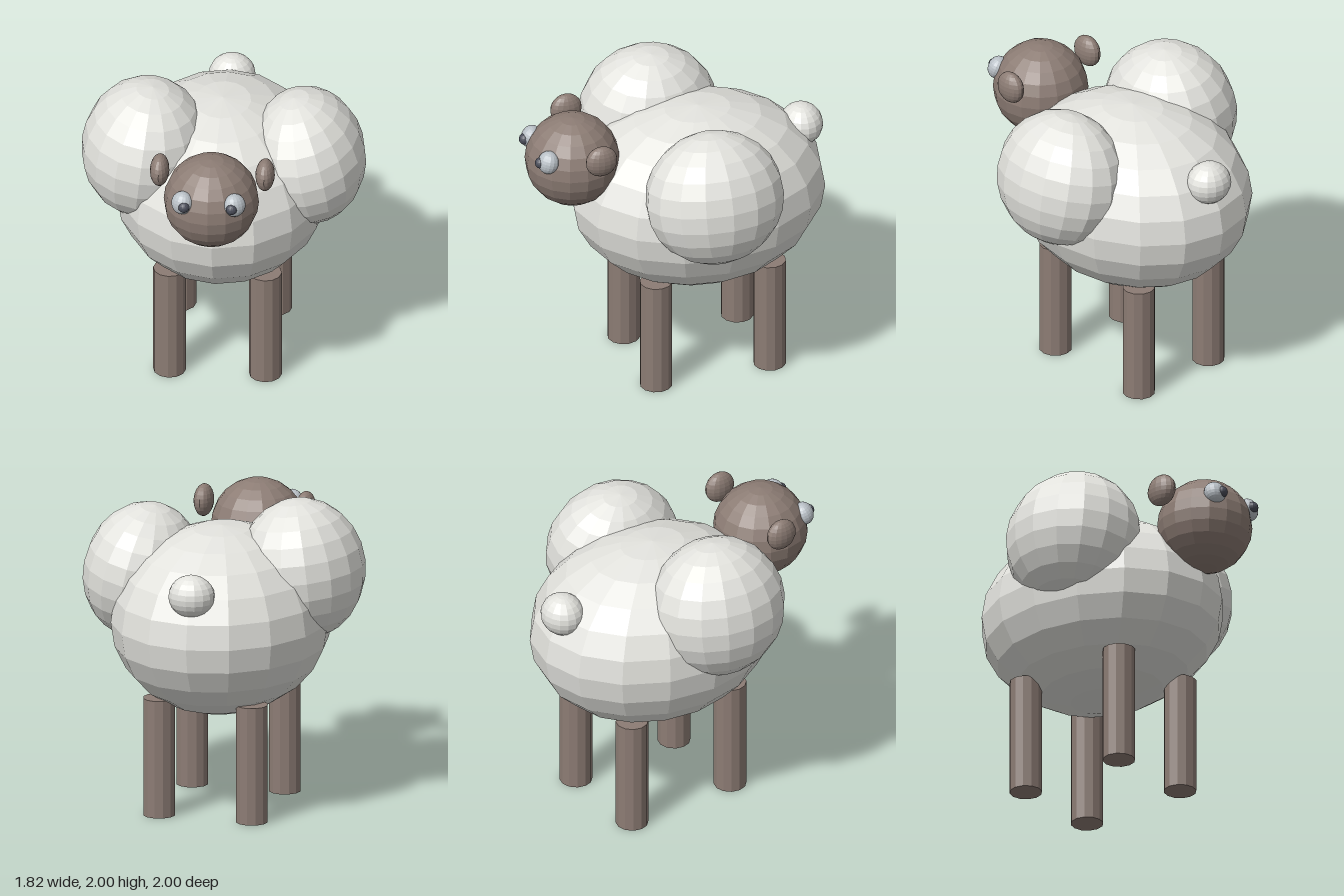
import * as THREE from 'three';

const material = (color) => new THREE.MeshStandardMaterial({ color, flatShading: true });

export function createModel() {
  const model = new THREE.Group();
  model.name = 'sheep';
  const MID = -0.016; // x of the symmetry plane

  const wool = material(0xe2e2dd);
  const skin = material(0x8c7c74);
  const eyeWhite = material(0xb9c0c6);
  const dark = material(0x4b4e5a);

  const add = (name, geometry, mat, x, y, z) => {
    const mesh = new THREE.Mesh(geometry, mat);
    mesh.name = name;
    mesh.position.set(x, y, z);
    model.add(mesh);
    return mesh;
  };
  const ball = (name, mat, position, radii) => {
    const mesh = add(name, new THREE.SphereGeometry(1, 16, 12), mat, ...position);
    mesh.scale.set(...radii);
    return mesh;
  };

  // Woolly body, two shoulder puffs leaning inwards, and tail
  ball('body', wool, [MID, 1.23, -0.155], [0.7, 0.61, 0.835]);
  ball('rightWoolPuff', wool, [-0.5, 1.545, 0.005], [0.408, 0.456, 0.455]).rotation.z = -0.11;
  ball('leftWoolPuff', wool, [0.535, 1.485, -0.075], [0.372, 0.438, 0.455]).rotation.z = 0.205;
  ball('tail', wool, [MID, 1.555, -0.86], [0.15, 0.138, 0.138]);

  // Head
  ball('head', skin, [MID, 1.617, 0.693], [0.305, 0.305, 0.305]);

  for (const [side, s] of [['left', 1], ['right', -1]]) {
    // Ears, eyes and pupils
    ball(side + 'Ear', skin, [MID + s * 0.338, 1.775, 0.615], [0.062, 0.105, 0.105]);
    const eye = ball(side + 'Eye', eyeWhite, [MID + s * 0.168, 1.73, 0.915], [0.072, 0.075, 0.062]);
    eye.rotation.set(-0.3, s * 0.5, 0, 'YXZ');
    ball(side + 'Pupil', dark, [MID + s * 0.153, 1.728, 0.962], [0.037, 0.037, 0.037]);

    // Legs
    for (const [end, z] of [['Front', 0.235], ['Back', -0.535]]) {
      add(side + end + 'Leg', new THREE.CylinderGeometry(0.105, 0.105, 0.775, 12), skin,
        MID + s * 0.307, 0.3875, z);
    }
  }
  return model;
}
